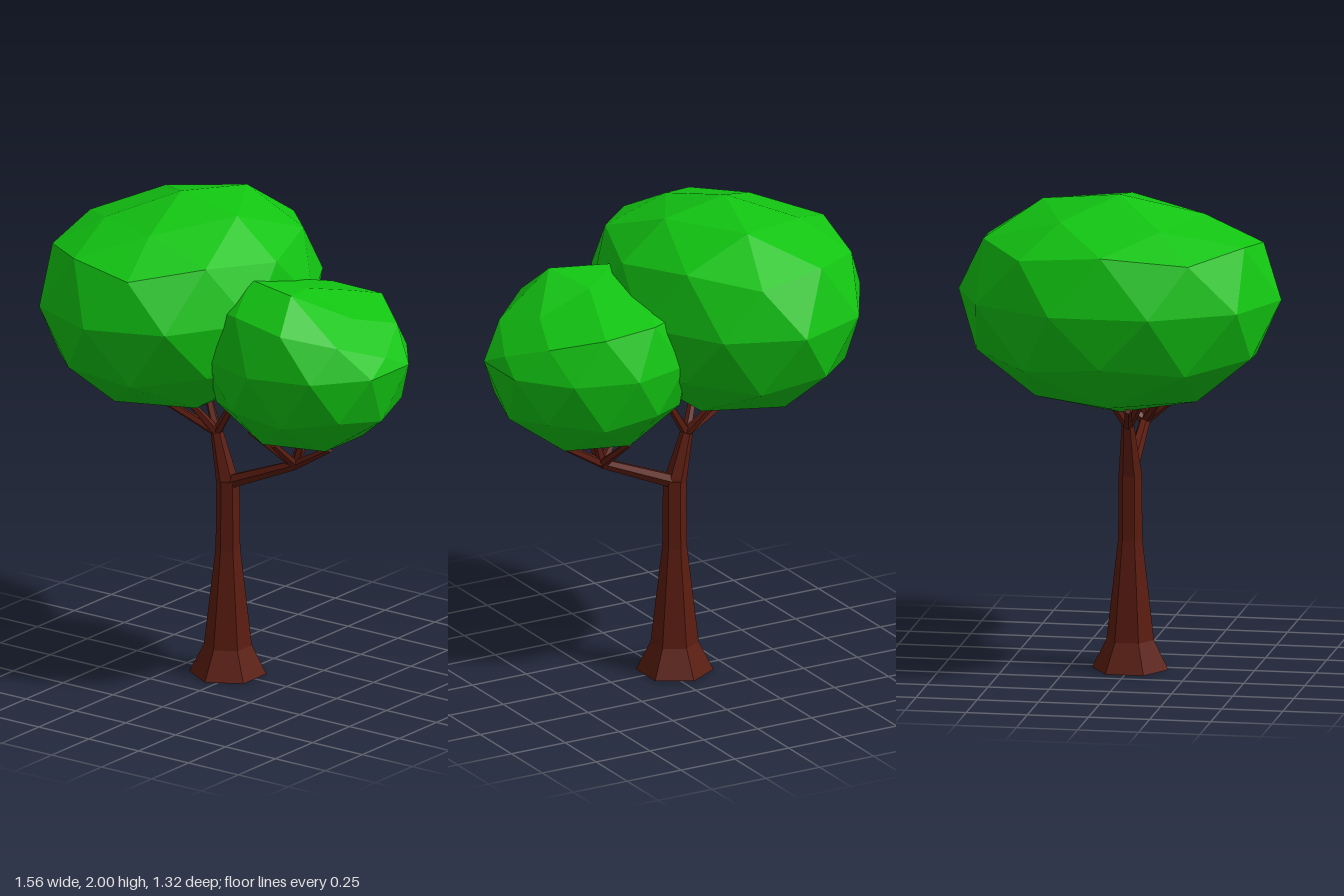
import * as THREE from 'three';

const bark = new THREE.MeshStandardMaterial({ color: 0x5a1c10, flatShading: true });
const leaf = new THREE.MeshStandardMaterial({ color: 0x12c412, flatShading: true });

// Faceted ball with a vertex at the top, reshaped by a rule on its unit points
function crown(name, rule) {
  const geo = new THREE.IcosahedronGeometry(1, 1);
  geo.rotateZ(-Math.atan(2 / (1 + Math.sqrt(5))));
  const pos = geo.attributes.position;
  const p = new THREE.Vector3();
  for (let i = 0; i < pos.count; i++) {
    rule(p.fromBufferAttribute(pos, i));
    pos.setXYZ(i, p.x, p.y, p.z);
  }
  geo.computeVertexNormals();
  const mesh = new THREE.Mesh(geo, leaf);
  mesh.name = name;
  return mesh;
}

// Tapered straight limb between two points
function limb(name, from, to, r0, r1, sides = 6) {
  const a = new THREE.Vector3(...from), b = new THREE.Vector3(...to);
  const dir = b.clone().sub(a);
  const mesh = new THREE.Mesh(new THREE.CylinderGeometry(r1, r0, dir.length(), sides), bark);
  mesh.position.copy(a).add(b).multiplyScalar(0.5);
  mesh.quaternion.setFromUnitVectors(new THREE.Vector3(0, 1, 0), dir.normalize());
  mesh.name = name;
  return mesh;
}

export function createModel() {
  const tree = new THREE.Group();
  tree.name = 'tree';

  // Six-sided trunk with a flared foot
  const profile = [[0, 0], [0.156, 0], [0.097, 0.12], [0.05, 0.53], [0.047, 0.82], [0, 0.83]]
    .map(([r, y]) => new THREE.Vector2(r, y));
  const trunk = new THREE.Mesh(new THREE.LatheGeometry(profile, 6), bark);
  trunk.position.x = -0.045;
  trunk.name = 'trunk';
  tree.add(trunk);

  // Two main branches, each ending in a fork of twigs
  const leftFork = [0.29, 0.95, 0], rightFork = [-0.1, 1.01, 0];
  tree.add(limb('leftBranch', [-0.03, 0.815, 0], leftFork, 0.03, 0.022));
  tree.add(limb('rightBranch', [-0.045, 0.8, 0], rightFork, 0.047, 0.026));
  const forks = [
    ['leftTwig', leftFork, [[0.14, 1.09, 0.1], [0.34, 1.12, 0], [0.48, 1.06, 0.02],
      [0.3, 1.08, 0.16], [0.26, 1.08, -0.16]]],
    ['rightTwig', rightFork, [[-0.38, 1.13, 0.05], [-0.22, 1.18, -0.08], [0.03, 1.23, 0],
      [-0.2, 1.18, 0.1]]],
  ];
  for (const [name, from, ends] of forks) {
    for (const to of ends) tree.add(limb(name, from, to, 0.02, 0.013, 5));
  }

  // Large crown: ellipsoid with a slightly flattened, tilted top
  tree.add(crown('largeCrown', (p) => {
    const ry = p.y > 0.6 ? 0.41 : p.y > 0 ? 0.455 : 0.485;
    const tilt = p.y > 0.8 ? 0.04 * (p.x - p.z) - 0.01 * (p.y < 0.95) : 0;
    p.set(-0.28 + p.x * 0.535, 1.59 + p.y * ry + tilt, p.z * 0.66);
  }));

  // Small crown: ellipsoid with its top and outer shoulder planed off
  tree.add(crown('smallCrown', (p) => {
    p.set(0.35 + p.x * 0.44, 1.44 + p.y * 0.41, p.z * 0.405);
    const top = 1.75 + 0.25 * Math.min(0, p.z - 0.14);
    const shoulder = 1.77 - 0.82 * (p.x - 0.41);
    p.y = Math.min(p.y, top, shoulder);
  }));

  return tree;
}
